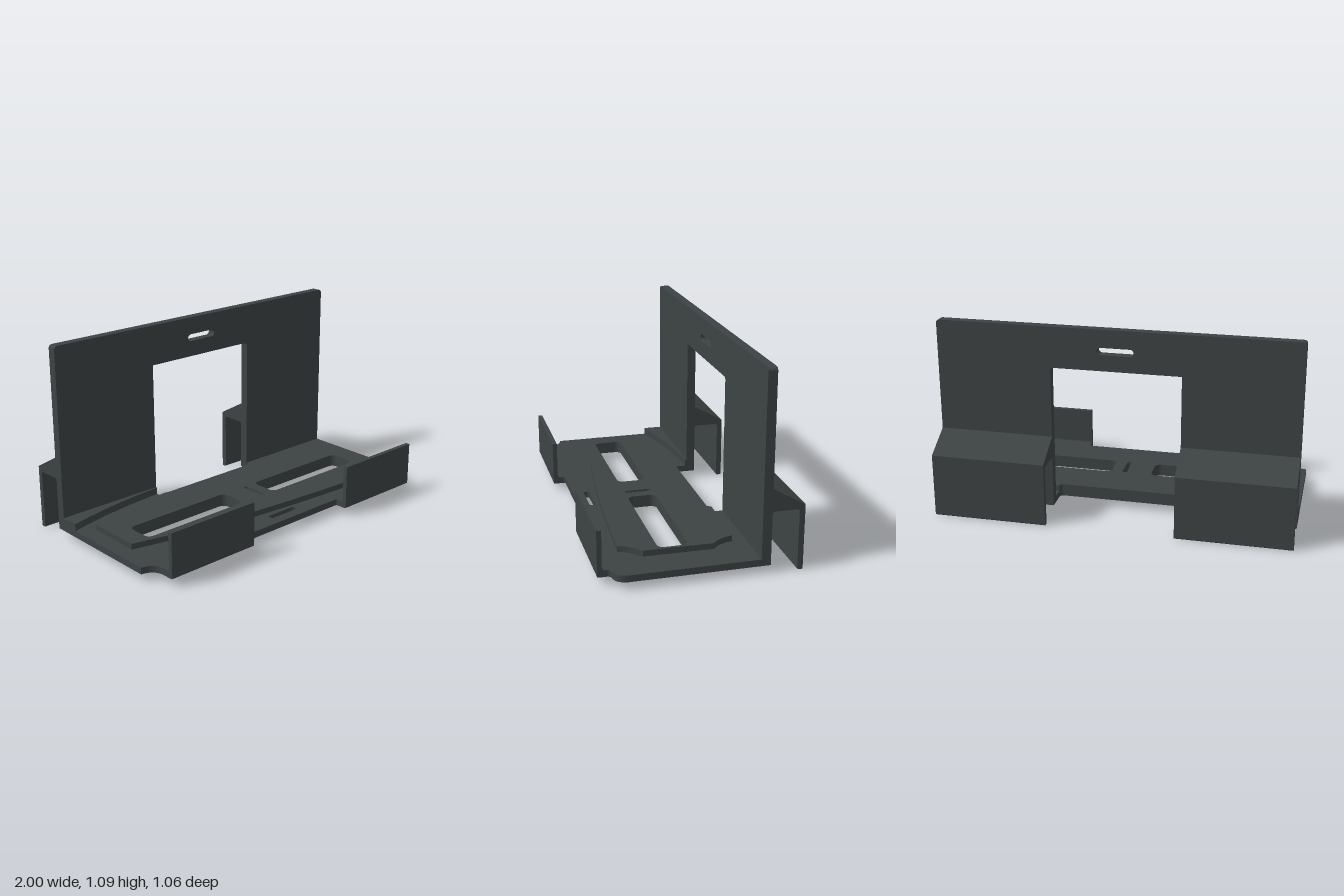
import * as THREE from 'three';

const plastic = new THREE.MeshStandardMaterial({ color: 0x3d4343 });
plastic.name = 'charcoal plastic';

// Rounded rectangle; r may be one radius or [bottomLeft, bottomRight, topRight, topLeft]
function roundRect(path, x0, y0, x1, y1, r) {
  const [a, b, c, d] = Array.isArray(r) ? r : [r, r, r, r];
  path.moveTo(x0 + a, y0).lineTo(x1 - b, y0);
  if (b) path.absarc(x1 - b, y0 + b, b, -Math.PI / 2, 0, false);
  path.lineTo(x1, y1 - c);
  if (c) path.absarc(x1 - c, y1 - c, c, 0, Math.PI / 2, false);
  path.lineTo(x0 + d, y1);
  if (d) path.absarc(x0 + d, y1 - d, d, Math.PI / 2, Math.PI, false);
  path.lineTo(x0, y0 + a);
  if (a) path.absarc(x0 + a, y0 + a, a, Math.PI, Math.PI * 1.5, false);
  return path;
}

const extrude = (shape, depth) =>
  new THREE.ExtrudeGeometry(shape, { depth, bevelEnabled: false, curveSegments: 10 });

function addPart(group, name, geometry) {
  const mesh = new THREE.Mesh(geometry, plastic);
  mesh.name = name;
  group.add(mesh);
}

// Plan shapes are drawn as (x, -z) and raised from y0 to y1
const slab = (shape, y0, y1) =>
  extrude(shape, y1 - y0).rotateX(-Math.PI / 2).translate(0, y0, 0);

// Side profiles are drawn as (-z, y) and run from x0 to x1
const rail = (shape, x0, x1) =>
  extrude(shape, x1 - x0).rotateY(Math.PI / 2).translate(x0, 0, 0);

// Openings shared by the floor and the raised pad
function floorSlots(shape) {
  shape.holes.push(
    roundRect(new THREE.Path(), -0.80, -0.185, -0.12, -0.02, 0.035),
    roundRect(new THREE.Path(), 0.115, -0.185, 0.80, -0.02, 0.035),
    roundRect(new THREE.Path(), 0.025, -0.18, 0.052, -0.03, 0.012));
}

export function createModel() {
  const model = new THREE.Group();
  model.name = 'wall dock';

  // Floor with shaped front corners and a rear notch
  const floor = new THREE.Shape();
  floor.moveTo(-1, 0.305).lineTo(-1, -0.38);
  floor.quadraticCurveTo(-0.92, -0.39, -0.92, -0.47);
  floor.lineTo(-0.92, -0.49).lineTo(-0.36, -0.49).lineTo(-0.36, -0.475);
  floor.quadraticCurveTo(-0.36, -0.46, -0.345, -0.46).lineTo(0.345, -0.46);
  floor.quadraticCurveTo(0.36, -0.46, 0.36, -0.475).lineTo(0.36, -0.49);
  floor.lineTo(0.915, -0.49).lineTo(0.915, -0.475);
  floor.quadraticCurveTo(0.92, -0.46, 0.94, -0.458);
  floor.quadraticCurveTo(0.995, -0.45, 1, -0.39).lineTo(1, 0.305);
  floor.lineTo(0.36, 0.305).lineTo(0.36, 0.24);
  floor.quadraticCurveTo(0.36, 0.215, 0.335, 0.215).lineTo(-0.335, 0.215);
  floor.quadraticCurveTo(-0.36, 0.215, -0.36, 0.24).lineTo(-0.36, 0.305);
  floorSlots(floor);
  floor.holes.push(roundRect(new THREE.Path(), -0.1, -0.4, 0.1, -0.365, 0.014));
  addPart(model, 'floor', slab(floor, 0.043, 0.08));

  // Raised pad with a swept front edge
  const pad = new THREE.Shape();
  pad.moveTo(-0.905, 0.145).lineTo(-0.912, -0.185);
  pad.bezierCurveTo(-0.45, -0.31, 0.15, -0.36, 0.73, -0.385);
  pad.quadraticCurveTo(0.745, -0.32, 0.815, -0.27);
  pad.lineTo(0.82, 0.11);
  pad.quadraticCurveTo(0.765, 0.15, 0.755, 0.228);
  pad.lineTo(0.62, 0.235).lineTo(0.36, 0.238);
  pad.quadraticCurveTo(0.36, 0.215, 0.335, 0.215).lineTo(-0.335, 0.215);
  pad.lineTo(-0.36, 0.221);
  pad.quadraticCurveTo(-0.62, 0.2, -0.905, 0.145);
  floorSlots(pad);
  addPart(model, 'raisedPad', slab(pad, 0.08, 0.113));

  // Curved wedge along the wall on one side
  const wedge = new THREE.Shape();
  wedge.moveTo(-1, 0.305).lineTo(-1, 0.197);
  wedge.quadraticCurveTo(-0.72, 0.275, -0.36, 0.297).lineTo(-0.36, 0.305);
  addPart(model, 'rearWedge', slab(wedge, 0.08, 0.12));

  // Upright wall: an arch around the opening, with a slot near the top
  const wall = new THREE.Shape();
  wall.moveTo(-1, 0.043).lineTo(-0.36, 0.043).lineTo(-0.36, 0.86).lineTo(0.34, 0.86);
  wall.quadraticCurveTo(0.36, 0.86, 0.36, 0.84).lineTo(0.36, 0.043).lineTo(1, 0.043);
  wall.lineTo(1, 1.068).quadraticCurveTo(1, 1.09, 0.978, 1.09);
  wall.lineTo(-0.978, 1.09).quadraticCurveTo(-1, 1.09, -1, 1.068);
  wall.holes.push(roundRect(new THREE.Path(), -0.1, 0.95, 0.1, 0.99, 0.0199));
  addPart(model, 'wall', extrude(wall, 0.05).translate(0, 0, -0.355));

  // Front lip profile with a filleted inner corner
  const lip = new THREE.Shape();
  lip.moveTo(-0.49, 0.08).lineTo(-0.49, 0.043).lineTo(-0.522, 0.043);
  lip.quadraticCurveTo(-0.53, 0.043, -0.53, 0.051).lineTo(-0.53, 0.297);
  lip.lineTo(-0.505, 0.297).lineTo(-0.505, 0.095);
  lip.quadraticCurveTo(-0.505, 0.08, -0.49, 0.08);
  addPart(model, 'rightLip', rail(lip, -0.92, -0.36));
  addPart(model, 'leftLip', rail(lip, 0.36, 0.915));

  // Rear hook profile: sloped top, flat underside, hanging flange
  const hook = new THREE.Shape();
  hook.moveTo(0.355, 0.46).lineTo(0.355, 0.322);
  hook.quadraticCurveTo(0.355, 0.337, 0.37, 0.337).lineTo(0.485, 0.337);
  hook.quadraticCurveTo(0.5, 0.337, 0.5, 0.322).lineTo(0.5, 0.008);
  hook.quadraticCurveTo(0.5, 0, 0.508, 0).lineTo(0.522, 0);
  hook.quadraticCurveTo(0.53, 0, 0.53, 0.008).lineTo(0.53, 0.36);
  addPart(model, 'rightHook', rail(hook, -1, -0.36));
  addPart(model, 'leftHook', rail(hook, 0.36, 1));

  return model;
}
